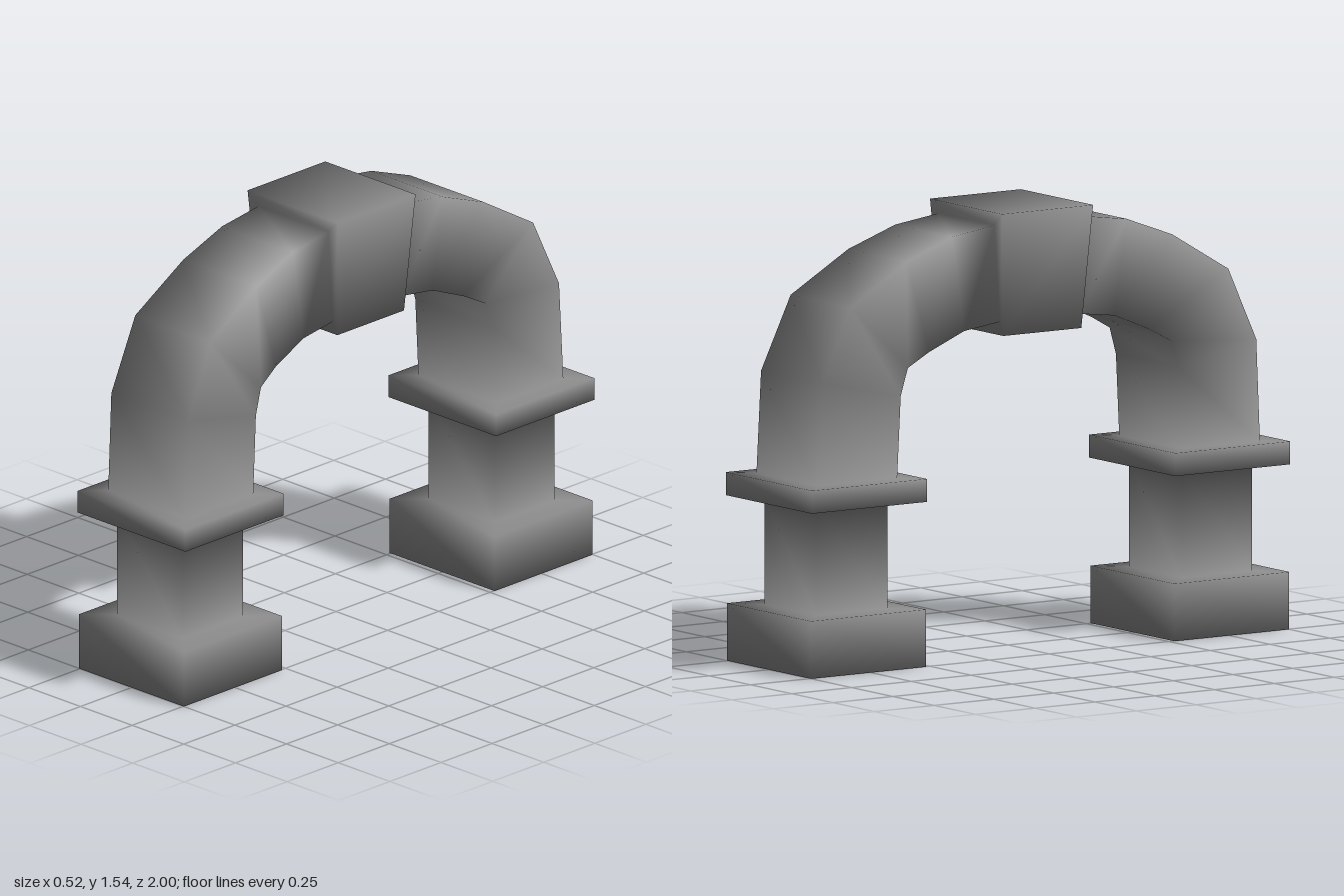
import * as THREE from 'three';

const material = new THREE.MeshStandardMaterial({ color: 0x8a8a8a });

// Level rectangular ring
const flat = (y, x0, x1, z0, z1) => [[x0, y, z0], [x1, y, z0], [x1, y, z1], [x0, y, z1]];

// Ring between an inner and an outer point [z, y, right edge x]
const slanted = (x0, [zi, yi, xi], [zo, yo, xo], x0o = x0) =>
  [[x0, yi, zi], [xi, yi, zi], [xo, yo, zo], [x0o, yo, zo]];

// Plinth, shaft and cap slab of one column
const pierRings = [
  flat(0, -0.255, 0.253, 0.52, 1),
  flat(0.2, -0.255, 0.253, 0.52, 1),
  flat(0.2, -0.16, 0.158, 0.615, 0.91),
  flat(0.575, -0.16, 0.158, 0.615, 0.91),
  flat(0.575, -0.261, 0.261, 0.52, 1),
  flat(0.655, -0.261, 0.261, 0.52, 1),
];

// Bent bar, from the cap slab up to the keystone
const inner = [
  [0.595, 0.655, 0.188], [0.58, 0.94, 0.186], [0.55, 1.035, 0.181],
  [0.46, 1.083, 0.165], [0.315, 1.143, 0.155], [0.165, 1.162, 0.15],
];
const outer = [
  [0.922, 0.655, 0.188], [0.907, 1.01, 0.182], [0.79, 1.265, 0.172],
  [0.555, 1.405, 0.164], [0.365, 1.475, 0.154], [0.188, 1.5, 0.149],
];
const archRings = inner.map((p, i) => slanted(-0.19, p, outer[i]));

// Front face of the crown wedge, wider towards the top
const keystoneRing = slanted(-0.208, [0.163, 1.115, 0.168], [0.19, 1.545, 0.197], -0.24);

// The whole sweep: front plinth, over the crown, down to the back plinth
const half = [...pierRings, ...archRings, keystoneRing];
const mirrored = half.map((ring) => ring.map(([x, y, z]) => [x, y, -z])).reverse();
const points = [...half, ...mirrored].flat().map((p) => new THREE.Vector3(...p));
const last = half.length * 2 - 1;

// Triangles skinning the rings from..to; the two ends of the sweep are closed
function skin(from, to) {
  const index = [];
  for (let r = from; r < to; r++) {
    for (let i = 0; i < 4; i++) {
      const a = r * 4 + i, b = r * 4 + (i + 1) % 4;
      index.push(a, a + 4, b + 4, a, b + 4, b);
    }
  }
  const e = last * 4;
  if (from === 0) index.push(0, 1, 2, 0, 2, 3);
  if (to === last) index.push(e, e + 2, e + 1, e, e + 3, e + 2);
  return index;
}

// Corner normals weighted by face angle, shared by neighbouring parts
function smoothNormals() {
  const normals = points.map(() => new THREE.Vector3());
  const index = skin(0, last);
  for (let t = 0; t < index.length; t += 3) {
    for (let k = 0; k < 3; k++) {
      const [a, b, c] = [0, 1, 2].map((n) => index[t + (k + n) % 3]);
      const u = points[b].clone().sub(points[a]);
      const v = points[c].clone().sub(points[a]);
      normals[a].addScaledVector(u.clone().cross(v).normalize(), u.angleTo(v));
    }
  }
  return normals.map((n) => n.normalize());
}

export function createModel() {
  const group = new THREE.Group();
  group.name = 'archway';
  const normals = smoothNormals();

  const addPart = (name, from, to) => {
    const range = [from * 4, to * 4 + 4];
    const geometry = new THREE.BufferGeometry().setFromPoints(points.slice(...range));
    const flatNormals = normals.slice(...range).flatMap((n) => n.toArray());
    geometry.setAttribute('normal', new THREE.Float32BufferAttribute(flatNormals, 3));
    geometry.setIndex(skin(from, to).map((i) => i - from * 4));
    const mesh = new THREE.Mesh(geometry, material);
    mesh.name = name;
    group.add(mesh);
  };

  // Each part is a run of rings, repeated from the other end for the back
  const parts = [['Plinth', 0, 2], ['Shaft', 2, 3], ['CapSlab', 3, 6], ['ArchHalf', 6, 11]];
  for (const [name, from, to] of parts) {
    addPart('front' + name, from, to);
    addPart('back' + name, last - to, last - from);
  }
  addPart('keystone', 11, 14);
  return group;
}
